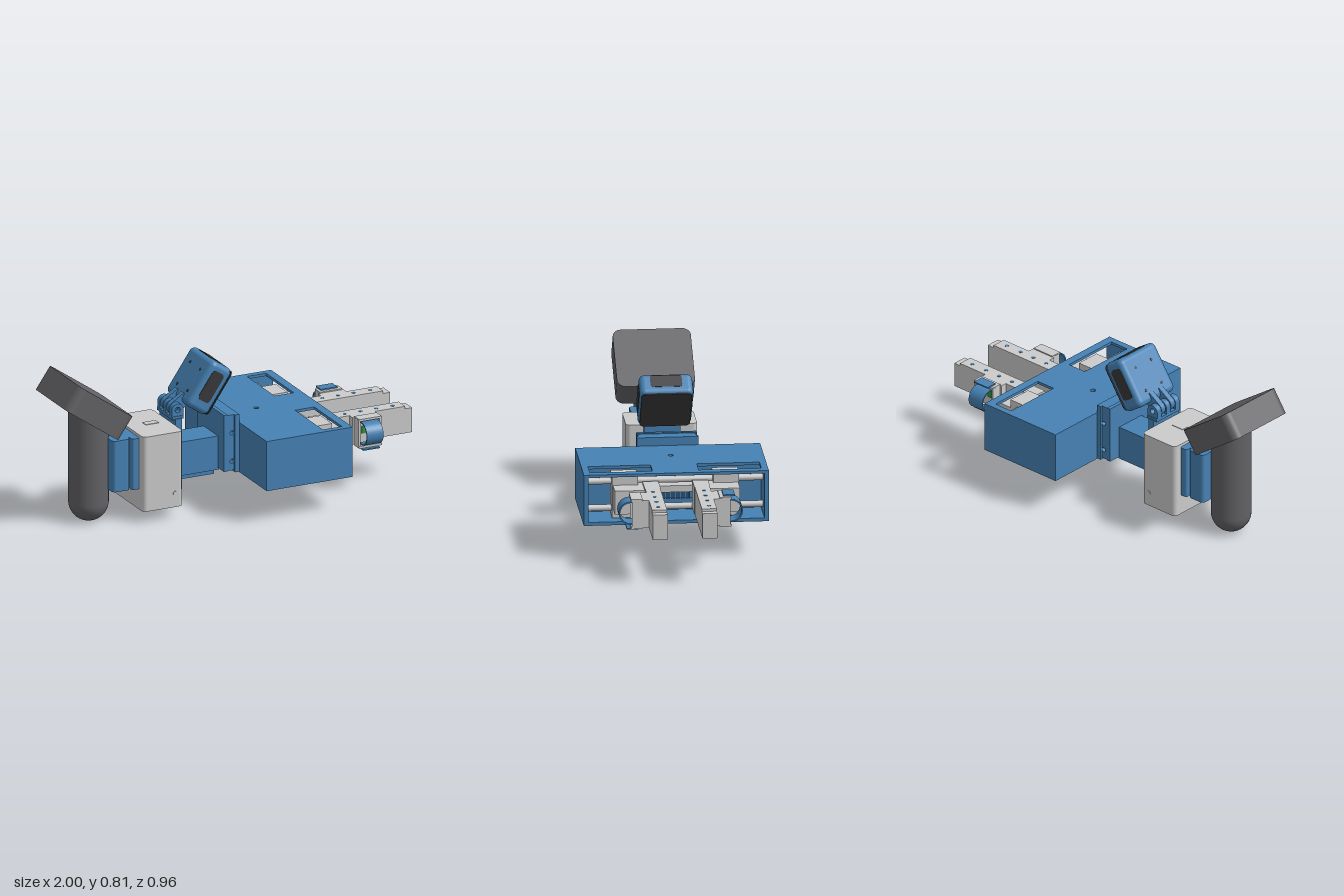
import * as THREE from 'three';
import { RoundedBoxGeometry } from 'three/addons/geometries/RoundedBoxGeometry.js';

const mat = (color) => new THREE.MeshStandardMaterial({ color });
const grey = mat(0xcccccc), blue = mat(0x4682b4), dark = mat(0x626266), black = mat(0x38383a), green = mat(0x2e9b3a);

function add(parent, name, geo, material, x = 0, y = 0, z = 0) {
  const m = new THREE.Mesh(geo, material);
  m.name = name;
  m.position.set(x, y, z);
  parent.add(m);
  return m;
}

// box given by its limits on each axis
function box(parent, name, material, x0, x1, y0, y1, z0, z1) {
  return add(parent, name, new THREE.BoxGeometry(x1 - x0, y1 - y0, z1 - z0), material,
    (x0 + x1) / 2, (y0 + y1) / 2, (z0 + z1) / 2);
}

function cyl(parent, name, material, r, len, axis, x, y, z) {
  const g = new THREE.CylinderGeometry(r, r, len, 24);
  if (axis === 'x') g.rotateZ(Math.PI / 2);
  if (axis === 'z') g.rotateX(Math.PI / 2);
  return add(parent, name, g, material, x, y, z);
}

function rect(C, x0, x1, y0, y1) {
  const s = new C();
  s.moveTo(x0, y0); s.lineTo(x1, y0); s.lineTo(x1, y1); s.lineTo(x0, y1); s.closePath();
  return s;
}

function circle(x, y, r) {
  const p = new THREE.Path();
  p.absarc(x, y, r, 0, Math.PI * 2, true);
  return p;
}

function roundRect(w, h, r) {
  const s = new THREE.Shape(), a = w / 2 - r, b = h / 2 - r;
  s.absarc(a, b, r, 0, Math.PI / 2);
  s.absarc(-a, b, r, Math.PI / 2, Math.PI);
  s.absarc(-a, -b, r, Math.PI, Math.PI * 1.5);
  s.absarc(a, -b, r, Math.PI * 1.5, Math.PI * 2);
  return s;
}

// extrusion centred on its depth
function extrude(shape, depth) {
  const g = new THREE.ExtrudeGeometry(shape, { depth, bevelEnabled: false, curveSegments: 12 });
  return g.translate(0, 0, -depth / 2);
}

// horizontal plate from a shape in x and -z
function slab(parent, name, shape, y0, y1, material) {
  return add(parent, name, extrude(shape, y1 - y0).rotateX(-Math.PI / 2), material, 0, (y0 + y1) / 2, 0);
}

function buildHousing(root) {
  const g = new THREE.Group();
  g.name = 'gripperHousing';
  const plate = (x1, z, windows) => {
    const s = rect(THREE.Shape, 0.01, x1, -z, z);
    s.holes.push(circle(0.185, 0, 0.014));
    if (windows) s.holes.push(rect(THREE.Path, 0.35, 0.46, 0.12, 0.445), rect(THREE.Path, 0.35, 0.46, -0.445, -0.12));
    return s;
  };
  slab(g, 'housingTop', plate(0.505, 0.48, true), 0.445, 0.46, blue);
  slab(g, 'housingBottom', plate(0.505, 0.48, false), 0.187, 0.205, blue);
  slab(g, 'housingBack', plate(0.31, 0.48, false), 0.205, 0.445, blue);
  for (const s of [-1, 1]) {
    add(g, 'housingSide', new THREE.BoxGeometry(0.195, 0.24, 0.023), blue, 0.4075, 0.325, s * 0.4685);
    cyl(g, 'guideRod', grey, 0.017, 0.92, 'z', 0.405, 0.325 + s * 0.072, 0);
  }
  // toothed rack behind the fingers
  box(g, 'rackBar', grey, 0.34, 0.4, 0.325, 0.36, -0.14, 0.14);
  box(g, 'rack', blue, 0.33, 0.37, 0.285, 0.325, -0.2, 0.2);
  for (let i = -6; i <= 6; i++) {
    add(g, 'rackTooth', new THREE.BoxGeometry(0.025, 0.038, 0.007), blue, 0.38, 0.305, i * 0.013);
  }
  root.add(g);
}

// one finger on its carriage; the second is the first turned half round the x axis
function buildFinger(root, turned) {
  const g = new THREE.Group();
  g.name = turned ? 'rightFinger' : 'leftFinger';
  g.position.y = 0.325;
  if (turned) g.rotation.x = Math.PI;
  box(g, 'carriage', grey, 0.35, 0.46, -0.113, 0.113, 0.196, 0.33);
  box(g, 'carriageArm', grey, 0.4, 0.565, -0.063, 0.063, 0.09, 0.325);
  box(g, 'fingerRoot', grey, 0.44, 0.565, -0.074, 0.074, 0.088, 0.17);
  box(g, 'fingerBar', grey, 0.565, 0.96, -0.074, 0.074, 0.09, 0.168);
  box(g, 'fingerTip', grey, 0.96, 1, turned ? -0.06 : -0.074, turned ? 0.074 : 0.06, 0.09, 0.168);
  for (const x of [0.63, 0.72, 0.81, 0.905]) cyl(g, 'screw', blue, 0.01, 0.152, 'y', x, 0, 0.132);

  // bracket holding the curved pad
  box(g, 'bracketBase', grey, 0.64, 0.785, -0.074, 0.074, 0.168, 0.203);
  for (const s of [-1, 1]) {
    add(g, 'bracketArm', new THREE.BoxGeometry(0.13, 0.012, 0.06), grey, 0.715, s * 0.074, 0.23);
    add(g, 'bracketCheek', new THREE.BoxGeometry(0.012, 0.15, 0.055), grey, 0.715 + s * 0.06, 0, 0.2275);
  }
  box(g, 'clipPlate', blue, 0.665, 0.76, -0.087, -0.08, 0.22, 0.28);
  box(g, 'sensor', green, 0.69, 0.73, -0.02, 0.02, 0.2, 0.209);
  const u = new THREE.Shape();
  u.moveTo(0.235, -0.062);
  u.absarc(0.26, 0, 0.062, -Math.PI / 2, Math.PI / 2);
  u.lineTo(0.235, 0.062);
  u.lineTo(0.235, 0.055);
  u.absarc(0.26, 0, 0.055, Math.PI / 2, -Math.PI / 2, true);
  u.lineTo(0.235, -0.055);
  add(g, 'curvedPad', extrude(u, 0.095).rotateY(-Math.PI / 2), blue, 0.7125, 0, 0);
  root.add(g);
}

function buildMounts(root) {
  const g = new THREE.Group();
  g.name = 'wristMount';
  // ribbed plate with cross holes behind the housing
  const web = rect(THREE.Shape, -0.058, 0.005, 0.2, 0.505);
  web.holes.push(circle(-0.027, 0.405, 0.012), circle(-0.027, 0.25, 0.012));
  add(g, 'mountCore', extrude(web, 0.3), blue);
  box(g, 'mountBackPlate', blue, -0.076, -0.055, 0.2, 0.51, -0.155, 0.155);
  box(g, 'mountFrontPlate', blue, -0.015, 0.01, 0.19, 0.505, -0.16, 0.16);
  // connector and motor plate
  box(g, 'connector', blue, -0.3, -0.07, 0.19, 0.375, -0.085, 0.085);
  box(g, 'connectorKeel', blue, -0.3, -0.07, 0.147, 0.19, -0.025, 0.025);
  box(g, 'motorPlate', blue, -0.325, -0.289, 0.12, 0.51, -0.095, 0.095);
  for (const s of [-1, 1]) cyl(g, 'plateScrew', grey, 0.011, 0.006, 'x', -0.287, 0.157, s * 0.056);
  // motor block with softened vertical edges
  add(g, 'motorBlock', extrude(roundRect(0.23, 0.37, 0.025), 0.41).rotateX(-Math.PI / 2), grey, -0.44, 0.27, 0);
  box(g, 'motorSlot', grey, -0.46, -0.385, 0.474, 0.478, -0.02, 0.02);
  for (const s of [-1, 1]) cyl(g, 'motorScrew', grey, 0.012, 0.006, 'z', -0.372, 0.14, s * 0.185);
  // adapter to the handle
  add(g, 'adapterPlate', extrude(roundRect(0.045, 0.29, 0.015), 0.28).rotateX(-Math.PI / 2), blue, -0.577, 0.32, 0);
  add(g, 'handleClamp', extrude(roundRect(0.1, 0.27, 0.02), 0.28).rotateX(-Math.PI / 2), blue, -0.655, 0.32, 0);
  for (const y of [0.19, 0.33, 0.45]) add(g, 'adapterSpacer', new THREE.BoxGeometry(0.02, 0.02, 0.22), blue, -0.602, y, 0);
  root.add(g);
}

function buildHandle(root) {
  const g = new THREE.Group();
  g.name = 'trackerHandle';
  const pts = [];
  for (let i = 0; i <= 16; i++) {
    const a = (i / 16) * Math.PI / 2;
    pts.push(new THREE.Vector2(0.105 * Math.sin(a), 0.105 - 0.105 * Math.cos(a)));
  }
  pts.push(new THREE.Vector2(0.105, 0.62));
  add(g, 'grip', new THREE.LatheGeometry(pts, 40), dark, -0.78, 0.002, 0);
  const head = add(g, 'trackerHead', extrude(roundRect(0.375, 0.405, 0.045), 0.143).rotateX(-Math.PI / 2), dark, -0.805, 0.646, 0);
  head.rotation.z = -0.61;
  root.add(g);
}

function buildCamera(root) {
  const g = new THREE.Group();
  g.name = 'camera';
  g.position.set(-0.144, 0.662, 0);
  g.rotation.z = -0.6;
  add(g, 'cameraBody', new RoundedBoxGeometry(0.137, 0.275, 0.278, 4, 0.03), blue);
  add(g, 'cameraScreen', extrude(roundRect(0.262, 0.26, 0.025), 0.006).rotateY(Math.PI / 2), black, 0.068, 0, 0);
  add(g, 'topPanel', extrude(roundRect(0.075, 0.165, 0.015), 0.004).rotateX(-Math.PI / 2), black, -0.012, 0.137, 0);
  for (const s of [-1, 1]) {
    add(g, 'sidePanel', extrude(roundRect(0.075, 0.17, 0.02), 0.004), black, -0.005, 0.01, s * 0.139);
    for (const y of [-0.07, 0.06]) cyl(g, 'backScrew', black, 0.008, 0.003, 'x', -0.069, y, s * 0.06);
  }
  root.add(g);

  // tilting hinge under the camera
  const h = new THREE.Group();
  h.name = 'cameraHinge';
  const ear = (a) => {
    const s = new THREE.Shape();
    s.absarc(0, 0, 0.034, 0, Math.PI);
    s.lineTo(-0.034, -a); s.lineTo(0.034, -a); s.closePath();
    s.holes.push(circle(0, 0, 0.015));
    return s;
  };
  for (const z of [-0.07, 0, 0.07]) add(h, 'lowerEar', extrude(ear(0.045), 0.03), blue, -0.308, 0.555, z);
  for (const z of [-0.036, 0.036]) {
    add(h, 'upperEar', extrude(ear(0.085), 0.03), blue, -0.308, 0.555, z).rotation.z = 2.15;
  }
  box(h, 'hingeBase', blue, -0.342, -0.276, 0.505, 0.522, -0.09, 0.09);
  root.add(h);
}

export function createModel() {
  const root = new THREE.Group();
  root.name = 'handheldGripper';
  buildHousing(root);
  buildFinger(root, false);
  buildFinger(root, true);
  buildMounts(root);
  buildHandle(root);
  buildCamera(root);
  return root;
}
